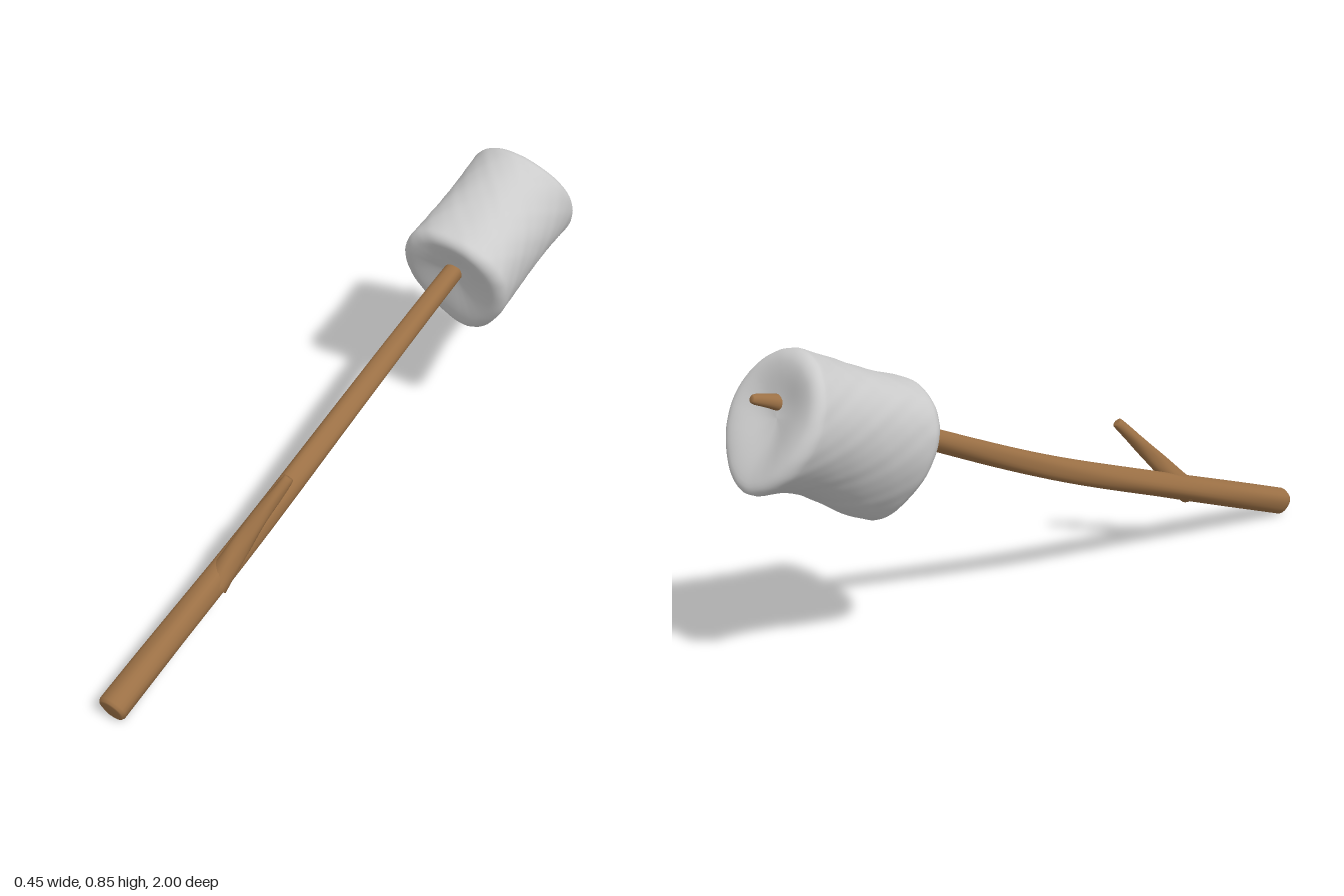
import * as THREE from 'three';

const UP = new THREE.Vector3(0, 1, 0);
const vec = (x, y, z) => new THREE.Vector3(x, y, z);

// Closed skin through rings of points; point(i, angle) gives each corner
function loft(rings, sides, point) {
  const pos = [], index = [];
  for (let i = 0; i < rings; i++) {
    for (let j = 0; j < sides; j++) {
      pos.push(...point(i, (j / sides) * Math.PI * 2).toArray());
      if (i === rings - 1) continue;
      const a = i * sides + j, b = i * sides + ((j + 1) % sides);
      index.push(a, b, a + sides, b, b + sides, a + sides);
    }
  }
  const geo = new THREE.BufferGeometry();
  geo.setAttribute('position', new THREE.Float32BufferAttribute(pos, 3));
  geo.setIndex(index);
  geo.computeVertexNormals();
  return geo;
}

// Right-handed frame around a direction
function frame(dir) {
  const w = dir.clone().normalize();
  const u = UP.clone().cross(w).normalize();
  return { u, v: w.clone().cross(u), w };
}

// Tapered twig along a curve, with slightly bevelled end caps
function twig(points, radiusAt, steps) {
  const curve = new THREE.CatmullRomCurve3(points);
  const stations = [[0, 0], [0, 0.75], [0.001, 0.9], [0.005, 1]];
  for (let k = 1; k < steps; k++) stations.push([k / steps, 1]);
  stations.push([0.994, 0.95], [0.999, 0.75], [1, 0.5], [1, 0]);
  const rows = stations.map(([t, s]) => ({
    c: curve.getPointAt(t), f: frame(curve.getTangentAt(t)), r: radiusAt(t) * s, t,
  }));
  return loft(rows.length, 24, (i, a) => {
    const { c, f, r, t } = rows[i];
    const q = r * (1 + 0.035 * Math.sin(3 * a + 9 * t) + 0.02 * Math.sin(5 * a - 14 * t));
    return c.clone().addScaledVector(f.u, q * Math.cos(a)).addScaledVector(f.v, q * Math.sin(a));
  });
}

// Squashed marshmallow: egg-shaped front end, round slanted back end, soft rims
function marshmallow() {
  const front = vec(0.008, 0.575, -0.525), back = vec(0.058, 0.70, -0.918);
  const { u, v, w } = frame(back.clone().sub(front));
  const length = front.distanceTo(back);
  const flat = 0.8, round = 0.03; // share of the end that is flat, rim depth
  const rows = []; // [radial share, distance along the axis]
  const dent = (s, depth) => depth * (1 - (s / flat) ** 2) ** 2;
  for (let k = 0; k < 14; k++) { const s = (k / 14) * flat; rows.push([s, dent(s, 0.018)]); }
  for (let k = 0; k <= 6; k++) {
    const a = (k / 6) * Math.PI / 2;
    rows.push([flat + (1 - flat) * Math.sin(a), round * (1 - Math.cos(a))]);
  }
  for (let k = 1; k < 30; k++) rows.push([1, round + (k / 30) * (length - 2 * round)]);
  for (let k = 0; k <= 6; k++) {
    const a = (k / 6) * Math.PI / 2;
    rows.push([flat + (1 - flat) * Math.cos(a), length - round * (1 - Math.sin(a))]);
  }
  for (let k = 13; k >= 0; k--) { const s = (k / 14) * flat; rows.push([s, length - dent(s, 0.025)]); }

  return loft(rows.length, 72, (i, a) => {
    const [s, d] = rows[i];
    const t = THREE.MathUtils.clamp(d / length, 0, 1);
    const c = Math.cos(a), n = Math.sin(a), low = Math.max(0, -n);
    // front outline: flattened top, narrow bottom
    const fx = 0.171 * Math.sign(c) * Math.pow(Math.abs(c), 0.85) * (1 - 0.3 * low * low);
    const fy = n > 0 ? 0.147 * Math.pow(n, 0.85) : 0.222 * n;
    const blend = THREE.MathUtils.smoothstep(t, -0.1, 1.05);
    const waist = 1 - 0.04 * Math.sin(Math.PI * t);
    const sag = 1 + low * low * (0.07 * Math.sin(2 * Math.PI * t) + 0.14 * t ** 4);
    const lump = 1 + 0.006 * Math.sin(4 * a + 1) * Math.sin(9 * t + 2)
      + 0.004 * Math.sin(11 * a) * Math.sin(26 * t) + 0.003 * Math.sin(19 * a + 2) * Math.sin(41 * t + 1);
    const x = s * waist * lump * THREE.MathUtils.lerp(fx, 0.172 * c, blend);
    const y = s * waist * lump * sag * THREE.MathUtils.lerp(fy, 0.178 * n, blend);
    // back end slants outwards below; both ends are slightly uneven
    const slant = -0.16 * y * t * t;
    const uneven = 0.004 * s * Math.sin(3 * a + 1 + 4 * s);
    return front.clone().addScaledVector(u, x).addScaledVector(v, y).addScaledVector(w, d + slant + uneven);
  });
}

export function createModel() {
  const group = new THREE.Group();
  const wood = new THREE.MeshStandardMaterial({ color: 0x9b7045 });
  const grey = new THREE.MeshStandardMaterial({ color: 0xcccccc });
  const add = (name, geo, mat) => {
    const mesh = new THREE.Mesh(geo, mat);
    mesh.name = name;
    group.add(mesh);
  };

  // Long stick, thinning to a blunt tip behind the marshmallow
  add('stick', twig([
    vec(-0.19, 0.04, 0.987), vec(-0.132, 0.2, 0.5), vec(-0.074, 0.37, 0),
    vec(0.003, 0.575, -0.5), vec(0.068, 0.73, -0.89), vec(0.08, 0.748, -0.95),
  ], (t) => 0.041 - 0.016 * t - 0.011 * THREE.MathUtils.smoothstep(t, 0.93, 1), 80), wood);

  // Side shoot, flared where it leaves the stick
  add('sideBranch', twig([
    vec(-0.136, 0.165, 0.57), vec(-0.11, 0.243, 0.49), vec(-0.075, 0.325, 0.42), vec(-0.033, 0.414, 0.342),
  ], (t) => 0.015 + 0.021 * (1 - t), 24), wood);

  add('marshmallow', marshmallow(), grey);
  return group;
}
